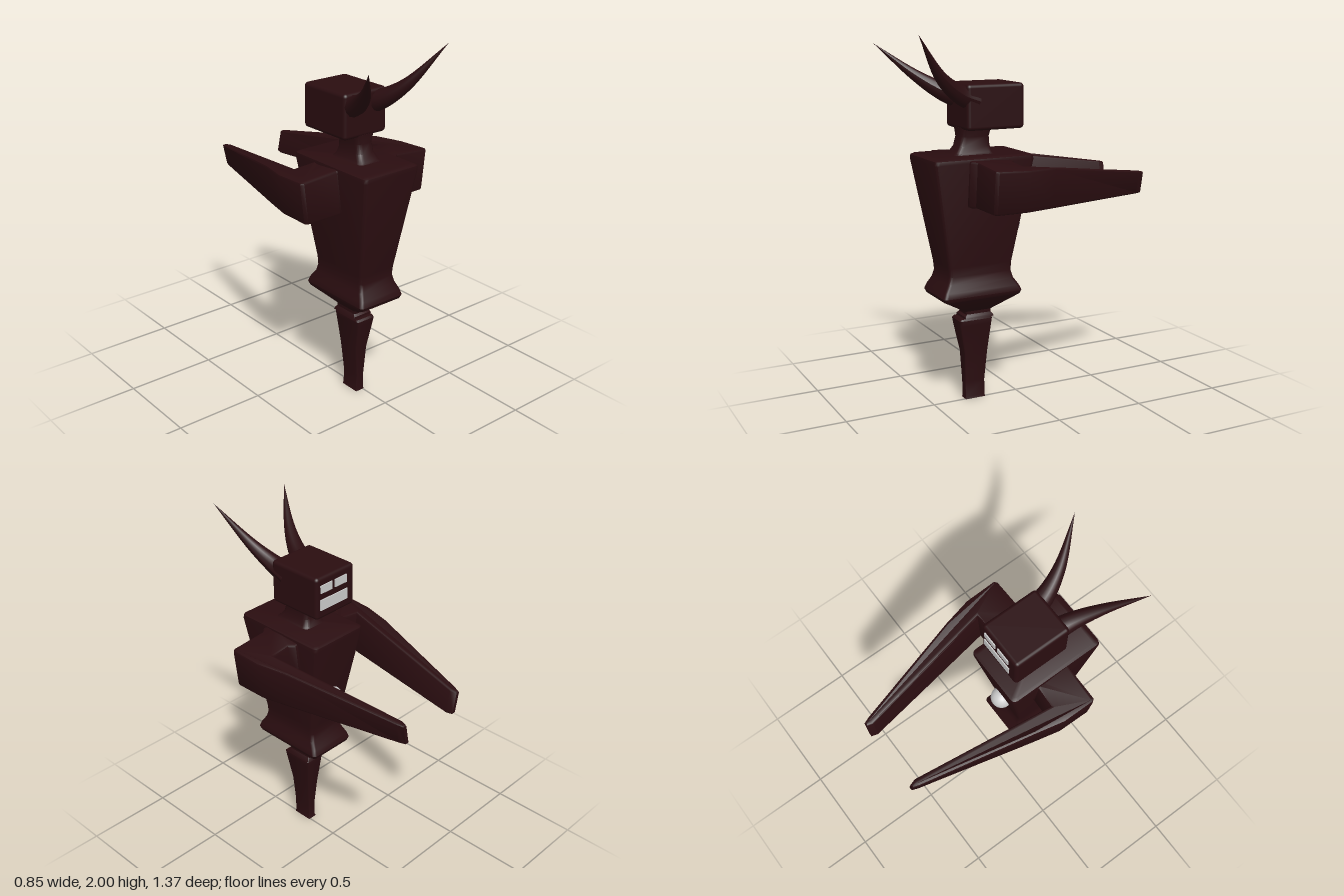
import * as THREE from 'three';
import { toCreasedNormals } from 'three/addons/utils/BufferGeometryUtils.js';
import { RoundedBoxGeometry } from 'three/addons/geometries/RoundedBoxGeometry.js';

const dark = new THREE.MeshStandardMaterial({ color: 0x2a0d10 });
const grey = new THREE.MeshStandardMaterial({ color: 0xcccccc });
const AXIS = -0.02; // body centre line in x

function add(group, name, geometry, material = dark) {
  const mesh = new THREE.Mesh(geometry, material);
  mesh.name = name;
  group.add(mesh);
  return mesh;
}

// Stacked rounded rectangles: each section is [y, halfWidth, zBack, zFront, cornerRadius]
function loft(sections) {
  const pos = [], idx = [], n = 16;
  for (const [y, hw, z0, z1, r] of sections) {
    const hd = (z1 - z0) / 2, zc = (z0 + z1) / 2;
    const corners = [[1, 1], [-1, 1], [-1, -1], [1, -1]];
    corners.forEach(([sx, sz], c) => {
      for (let k = 0; k < 4; k++) {
        const a = (c + k / 3) * Math.PI / 2;
        pos.push(AXIS + sx * (hw - r) + r * Math.cos(a), y, zc + sz * (hd - r) + r * Math.sin(a));
      }
    });
  }
  const last = sections.length - 1;
  for (let j = 0; j < last; j++) {
    for (let i = 0; i < n; i++) {
      const a = j * n + i, b = j * n + (i + 1) % n;
      idx.push(a, a + n, b, b, a + n, b + n);
    }
  }
  for (let i = 1; i < n - 1; i++) {
    idx.push(0, i, i + 1, last * n, last * n + i + 1, last * n + i);
  }
  const g = new THREE.BufferGeometry();
  g.setAttribute('position', new THREE.Float32BufferAttribute(pos, 3));
  g.setIndex(idx);
  return toCreasedNormals(g, 0.6);
}

// Bent arm: plan outline extruded upward, then tapered toward the hand
function armGeometry(side) {
  const outline = [
    [0.1, 0.35], [0.165, 0.35], [0.195, 0.325], [0.4, 0.325], [0.415, 0.31], [0.412, 0.13], [0.375, -0.03],
    [0.218, -0.65], [0.205, -0.685], [0.185, -0.685], [0.175, -0.65],
    [0.303, 0.12], [0.195, 0.125], [0.165, 0.1], [0.1, 0.1]
  ];
  const shape = new THREE.Shape(outline.map(([x, z]) => new THREE.Vector2(side * x, -z)));
  const b = 0.014;
  const g = new THREE.ExtrudeGeometry(shape, {
    depth: 0.25 - 2 * b, bevelThickness: b, bevelSize: b, bevelOffset: -b, bevelSegments: 2
  });
  g.translate(0, 0, b);
  g.rotateX(-Math.PI / 2);
  const p = g.attributes.position;
  for (let i = 0; i < p.count; i++) {
    const x = Math.abs(p.getX(i)), z = p.getZ(i), t = p.getY(i) / 0.25;
    const drop = z > 0.1 ? 0.08 * Math.max(0, x - 0.17) : 0;
    const top = Math.min(1.355, 1.325 + 0.143 * (z + 0.03)) - drop;
    p.setY(i, 1.105 + t * (top - 1.105));
    p.setX(i, side * (x + (x > 0.15 ? 0.026 * (t - 0.5) : 0)));
  }
  return toCreasedNormals(g, 0.6);
}

// Curved horn: a tube whose rings shrink to a point
function hornGeometry(points, radius) {
  const curve = new THREE.CatmullRomCurve3(points.map(p => new THREE.Vector3(...p)));
  const rings = 24, sides = 12;
  const g = new THREE.TubeGeometry(curve, rings, radius, sides);
  const p = g.attributes.position, v = new THREE.Vector3();
  for (let i = 0; i < p.count; i++) {
    const t = Math.floor(i / (sides + 1)) / rings;
    v.fromBufferAttribute(p, i).sub(curve.getPointAt(t)).multiplyScalar(1 - t ** 0.9).add(curve.getPointAt(t));
    p.setXYZ(i, v.x, v.y, v.z);
  }
  g.computeVertexNormals();
  return g;
}

export function createModel() {
  const model = new THREE.Group();
  model.name = 'hornedFigure';

  // Torso with flared hips, narrowing to the single leg
  add(model, 'torso', loft([
    [0.48, 0.05, 0.165, 0.31, 0.01],
    [0.51, 0.05, 0.165, 0.32, 0.01],
    [0.6, 0.14, 0.03, 0.475, 0.02],
    [0.62, 0.147, 0.022, 0.484, 0.02],
    [0.65, 0.139, 0.035, 0.473, 0.02],
    [0.69, 0.123, 0.062, 0.449, 0.02],
    [0.73, 0.116, 0.073, 0.437, 0.02],
    [0.78, 0.118, 0.07, 0.442, 0.02],
    [1.34, 0.183, -0.032, 0.54, 0.025],
    [1.36, 0.18, -0.03, 0.537, 0.025],
    [1.368, 0.165, -0.015, 0.522, 0.02]
  ]));

  // Tapered leg with a small collar and foot flange
  add(model, 'leg', loft([
    [0, 0.028, 0.193, 0.312, 0.003],
    [0.012, 0.025, 0.197, 0.31, 0.003],
    [0.1, 0.024, 0.196, 0.313, 0.006],
    [0.27, 0.038, 0.183, 0.32, 0.008],
    [0.43, 0.055, 0.165, 0.352, 0.01],
    [0.46, 0.06, 0.163, 0.355, 0.01],
    [0.47, 0.056, 0.168, 0.345, 0.01]
  ]));
  add(model, 'legCollar', loft([
    [0.47, 0.062, 0.155, 0.325, 0.004],
    [0.482, 0.058, 0.16, 0.325, 0.004],
    [0.5, 0.045, 0.175, 0.305, 0.004]
  ]));

  // Neck, flared at both ends
  add(model, 'neck', loft([
    [1.355, 0.09, 0.13, 0.4, 0.03],
    [1.375, 0.068, 0.15, 0.37, 0.03],
    [1.41, 0.056, 0.163, 0.345, 0.03],
    [1.46, 0.054, 0.166, 0.332, 0.03],
    [1.51, 0.065, 0.155, 0.335, 0.03]
  ]));

  // Head
  const head = new THREE.Group();
  head.name = 'head';
  model.add(head);
  add(head, 'skull', new RoundedBoxGeometry(0.28, 0.24, 0.33, 3, 0.02)).position.set(-0.025, 1.62, 0.17);

  // Light face panels on the arm side
  const panels = [['leftEye', 0.045, 1.675, 0.085, 0.045], ['rightEye', -0.06, 1.675, 0.085, 0.045], ['mouth', -0.01, 1.585, 0.2, 0.06]];
  for (const [name, x, y, w, h] of panels) {
    add(head, name, new THREE.BoxGeometry(w, h, 0.01), grey).position.set(x, y, 0.004);
  }

  // Horns sweep outward and up, one a little longer sideways
  add(head, 'leftHorn', hornGeometry([[0.055, 1.655, 0.27], [0.07, 1.69, 0.36], [0.115, 1.78, 0.48], [0.225, 2.0, 0.645]], 0.065));
  add(head, 'rightHorn', hornGeometry([[-0.095, 1.655, 0.27], [-0.115, 1.69, 0.37], [-0.18, 1.775, 0.5], [-0.315, 1.94, 0.68]], 0.065));

  // Arms
  add(model, 'leftArm', armGeometry(1));
  add(model, 'rightArm', armGeometry(-1));

  // Chest ball
  add(model, 'chestBall', new THREE.SphereGeometry(0.06, 24, 16), grey).position.set(AXIS, 0.965, 0.03);

  return model;
}
